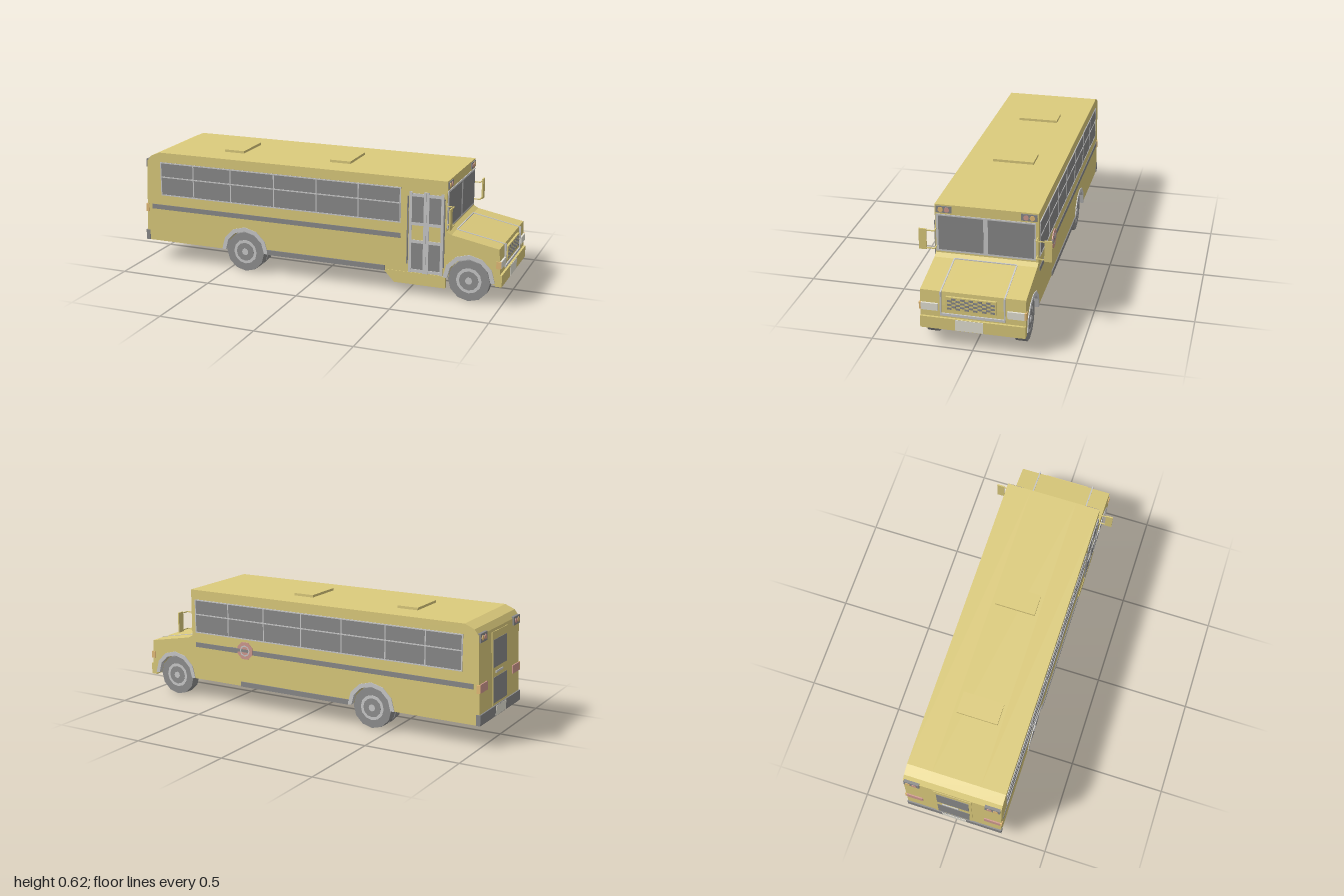
import * as THREE from 'three';

const mat = (color) => new THREE.MeshStandardMaterial({ color, flatShading: true, side: THREE.DoubleSide });
const yellow = mat(0xdccb7c), grey = mat(0xcccccc), dark = mat(0x8a8a8a), tyreGrey = mat(0x909090);
const white = mat(0xe6e3d6), red = mat(0xd09a90), orange = mat(0xe6bd78);
const W = 0.255; // half width of the body

function add(parent, name, geometry, material) {
  const mesh = new THREE.Mesh(geometry, material);
  mesh.name = name;
  parent.add(mesh);
  return mesh;
}

// Box given by its limits on each axis
function box(parent, name, material, x0, x1, y0, y1, z0, z1) {
  const mesh = add(parent, name, new THREE.BoxGeometry(x1 - x0, y1 - y0, Math.abs(z1 - z0)), material);
  mesh.position.set((x0 + x1) / 2, (y0 + y1) / 2, (z0 + z1) / 2);
  return mesh;
}

// Side profile in x and y, extruded from z0 to z1
function slab(parent, name, material, points, z0, z1) {
  const shape = new THREE.Shape(points.map(([x, y]) => new THREE.Vector2(x, y)));
  const geometry = new THREE.ExtrudeGeometry(shape, { depth: z1 - z0, bevelEnabled: false });
  geometry.translate(0, 0, z0);
  return add(parent, name, geometry, material);
}

// Thin disc facing along x
function lamp(parent, name, material, x, y, z, r) {
  const mesh = add(parent, name, new THREE.CylinderGeometry(r, r, 0.006, 16), material);
  mesh.rotation.z = Math.PI / 2;
  mesh.position.set(x, y, z);
}

// Wheel arch outline, from back to front
function arch(cx, r) {
  return Array.from({ length: 7 }, (_, i) => {
    const a = Math.PI * (1 - i / 6);
    return [cx + r * Math.cos(a), 0.11 + r * Math.sin(a)];
  });
}

function wheel(parent, name, x, z, out) {
  const group = new THREE.Group();
  group.name = name;
  const layers = [['tyre', 0.108, 0.055, 0, tyreGrey], ['rim', 0.066, 0.01, 0.0245, grey],
    ['rimDish', 0.05, 0.01, 0.026, tyreGrey], ['hub', 0.018, 0.012, 0.027, grey]];
  for (const [part, r, width, offset, m] of layers) {
    const mesh = add(group, part, new THREE.CylinderGeometry(r, r, width, 12), m);
    mesh.rotation.x = Math.PI / 2;
    mesh.position.z = offset * out;
  }
  group.position.set(x, 0.107, z);
  parent.add(group);
}

// Row of side windows with frame, posts and a mid rail
function sideWindows(parent, side, x0, x1, posts) {
  const g = new THREE.Group();
  g.name = side > 0 ? 'leftWindows' : 'rightWindows';
  const z = side * W, zOut = side * (W + 0.004);
  box(g, 'glass', dark, x0, x1, 0.37, 0.555, z - side * 0.01, side * (W + 0.002));
  for (const y of [0.37, 0.47, 0.549]) box(g, 'rail', grey, x0, x1, y, y + 0.006, z, zOut);
  for (const x of [x0, ...posts, x1 - 0.006]) box(g, 'post', grey, x, x + 0.006, 0.37, 0.555, z, zOut);
  box(g, 'stripe', dark, -0.955, x1, 0.29, 0.316, z, side * (W + 0.003));
  parent.add(g);
}

export function createModel() {
  const bus = new THREE.Group();
  bus.name = 'bus';

  // Body: solid core, and outer layers with the wheel wells cut out
  const upper = [[0.985, 0.22], [0.98, 0.29], [0.735, 0.336], [0.71, 0.35], [0.71, 0.607],
    [-0.9, 0.607], [-0.952, 0.585], [-0.975, 0.555], [-0.993, 0.11]];
  slab(bus, 'bodyCore', yellow, [[0.97, 0.1], [0.988, 0.1], ...upper], -0.125, 0.125);
  const cut = [...arch(-0.4, 0.116), ...arch(0.83, 0.116), [0.97, 0.1], [0.988, 0.1], ...upper];
  slab(bus, 'bodyLeft', yellow, cut, 0.125, W);
  slab(bus, 'bodyRight', yellow, cut, -W, -0.125);
  slab(bus, 'underbody', yellow, [[0.38, 0.11], [0.46, 0.067], [0.71, 0.067], [0.965, 0.1], [0.965, 0.11]], -0.12, 0.12);
  slab(bus, 'doorStep', yellow, [[0.38, 0.115], [0.44, 0.052], [0.71, 0.052], [0.71, 0.115]], 0.24, W + 0.003);

  // Wheels, arch trims and skirt strips
  for (const side of [1, -1]) {
    const z = side > 0 ? 0.2225 : -0.2125;
    wheel(bus, 'frontWheel', 0.83, z, side);
    wheel(bus, 'rearWheel', -0.4, z, side);
    wheel(bus, 'innerRearWheel', -0.4, z - side * 0.065, side);
    for (const cx of [-0.4, 0.83]) {
      const ring = [...arch(cx, 0.134), ...arch(cx, 0.112).reverse()];
      slab(bus, 'archTrim', grey, ring, side > 0 ? W - 0.02 : -W - 0.004, side > 0 ? W + 0.004 : -W + 0.02);
    }
    box(bus, 'skirtStrip', dark, -0.27, 0.39, 0.108, 0.135, side * (W - 0.01), side * (W + 0.005));
  }
  for (const x of [-0.4, 0.83]) {
    const axle = add(bus, 'axle', new THREE.CylinderGeometry(0.015, 0.015, 0.36, 8), dark);
    axle.rotation.x = Math.PI / 2;
    axle.position.set(x, 0.107, 0);
  }

  // Side windows
  const posts = [-0.7, -0.48, -0.23, 0.01, 0.24];
  sideWindows(bus, 1, -0.895, 0.47, posts);
  sideWindows(bus, -1, -0.895, 0.685, [...posts, 0.465]);

  // Entrance door with two leaves
  const door = new THREE.Group();
  door.name = 'entranceDoor';
  for (const x of [0.515, 0.605]) {
    for (const [y0, y1] of [[0.38, 0.515], [0.135, 0.275]]) box(door, 'pane', dark, x + 0.01, x + 0.08, y0, y1, W - 0.01, W + 0.003);
    for (const px of [x, x + 0.075]) box(door, 'doorPost', grey, px, px + 0.014, 0.115, 0.54, W, W + 0.004);
    for (const y of [0.118, 0.273, 0.366, 0.515]) box(door, 'doorRail', grey, x, x + 0.089, y, y + 0.016, W, W + 0.0035);
  }
  for (const x of [0.505, 0.695]) box(door, 'doorHandrail', dark, x, x + 0.006, 0.16, 0.515, W, W + 0.007);
  bus.add(door);

  // Windshield and roof warning lamps
  const front = new THREE.Group();
  front.name = 'frontEnd';
  box(front, 'windshieldFrame', grey, 0.7, 0.714, 0.36, 0.557, -0.242, 0.25);
  box(front, 'windshieldPane', dark, 0.7, 0.716, 0.37, 0.55, 0.015, 0.238);
  box(front, 'windshieldPane', dark, 0.7, 0.716, 0.37, 0.55, -0.234, -0.008);
  for (const s of [1, -1]) {
    box(front, 'lampPanel', dark, 0.7, 0.715, 0.566, 0.6, s * 0.17, s * 0.248);
    lamp(front, 'amberLamp', orange, 0.715, 0.583, s * 0.225, 0.013);
    lamp(front, 'redLamp', red, 0.715, 0.583, s * 0.194, 0.013);
  }

  // Hood trim, following the slope
  const slope = [[0.735, 0.334], [0.982, 0.288], [0.982, 0.292], [0.735, 0.339]];
  for (const z of [-0.158, 0.151]) {
    slab(front, 'hoodTrim', grey, slope, z, z + 0.007);
    box(front, 'grilleTrim', grey, 0.975, 0.992, 0.167, 0.291, z, z + 0.007);
  }
  box(front, 'grilleTrim', grey, 0.975, 0.993, 0.167, 0.18, -0.158, 0.158);
  box(front, 'hoodSeam', grey, 0.733, 0.739, 0.33, 0.34, -0.155, 0.155);

  // Chequered grille
  box(front, 'grillePanel', yellow, 0.975, 0.993, 0.2, 0.27, -0.117, 0.128);
  for (let i = 0; i < 11; i++) {
    for (let j = 0; j < 6; j++) {
      if ((i + j) % 2) continue;
      const z = -0.11 + i * 0.021, y = 0.205 + j * 0.01;
      box(front, 'grilleSlot', dark, 0.98, 0.995, y, y + 0.01, z, z + 0.021);
    }
  }

  // Headlights, markers and front bumper
  for (const s of [1, -1]) {
    box(front, 'headlight', white, 0.965, 0.994, 0.19, 0.227, s * 0.168, s * 0.25);
    box(front, 'marker', orange, 0.968, 0.992, 0.19, 0.227, s * 0.25, s * 0.26);
  }
  box(front, 'bumper', yellow, 0.965, 0.998, 0.096, 0.157, -W, W);
  box(front, 'plate', white, 0.98, 1, 0.098, 0.155, -0.053, 0.083);
  bus.add(front);

  // Mirrors on two arms
  for (const s of [1, -1]) {
    const g = new THREE.Group();
    g.name = 'mirror';
    box(g, 'mirrorPlate', yellow, 0.741, 0.748, 0.378, 0.487, s * 0.29, s * 0.328);
    for (const y of [0.383, 0.477]) {
      box(g, 'mirrorArm', yellow, 0.7, 0.746, y, y + 0.005, s * 0.247, s * 0.253);
      box(g, 'mirrorArm', yellow, 0.741, 0.746, y, y + 0.005, s * 0.247, s * 0.292);
    }
    bus.add(g);
  }

  // Roof hatches
  for (const x of [-0.58, 0.03]) box(bus, 'roofHatch', yellow, x, x + 0.113, 0.6, 0.62, -0.107, 0.107);

  // Stop arm on the right side
  const sign = add(bus, 'stopSign', new THREE.CylinderGeometry(0.05, 0.05, 0.005, 8), red);
  sign.rotation.set(Math.PI / 2, Math.PI / 8, 0);
  sign.position.set(0.36, 0.31, -0.261);
  const ring = add(bus, 'signRing', new THREE.RingGeometry(0.024, 0.031, 8), grey);
  ring.position.set(0.36, 0.31, -0.2645);
  box(bus, 'signArm', dark, 0.34, 0.465, 0.302, 0.318, -0.264, -0.25);

  // Rear end, leaning with the back wall
  const rear = new THREE.Group();
  rear.name = 'rearEnd';
  rear.position.set(-0.993, 0.11, 0);
  rear.rotation.z = -Math.atan(0.018 / 0.445);
  box(rear, 'rearDoor', yellow, -0.003, 0.01, 0.058, 0.43, -0.1, 0.1);
  for (const [y0, y1] of [[0.25, 0.39], [0.07, 0.2]]) box(rear, 'rearWindow', dark, -0.005, 0.01, y0, y1, -0.085, 0.085);
  box(rear, 'doorHandle', grey, -0.007, 0.01, 0.22, 0.23, -0.06, 0.03);
  for (const s of [1, -1]) {
    box(rear, 'rearLampPanel', dark, -0.008, 0.03, 0.41, 0.455, s * 0.17, s * 0.25);
    lamp(rear, 'amberLamp', orange, -0.008, 0.432, s * 0.228, 0.013);
    lamp(rear, 'redLamp', red, -0.008, 0.432, s * 0.195, 0.013);
    box(rear, 'tailLight', red, -0.006, 0.012, 0.162, 0.205, s * 0.165, s * 0.25);
    box(rear, 'marker', orange, -0.005, 0.012, 0.162, 0.205, s * 0.25, s * 0.26);
  }
  bus.add(rear);
  box(bus, 'rearBumper', dark, -0.998, -0.975, 0.11, 0.165, -0.258, 0.258);
  box(bus, 'rearPlate', white, -1, -0.98, 0.113, 0.162, -0.065, 0.065);

  return bus;
}
